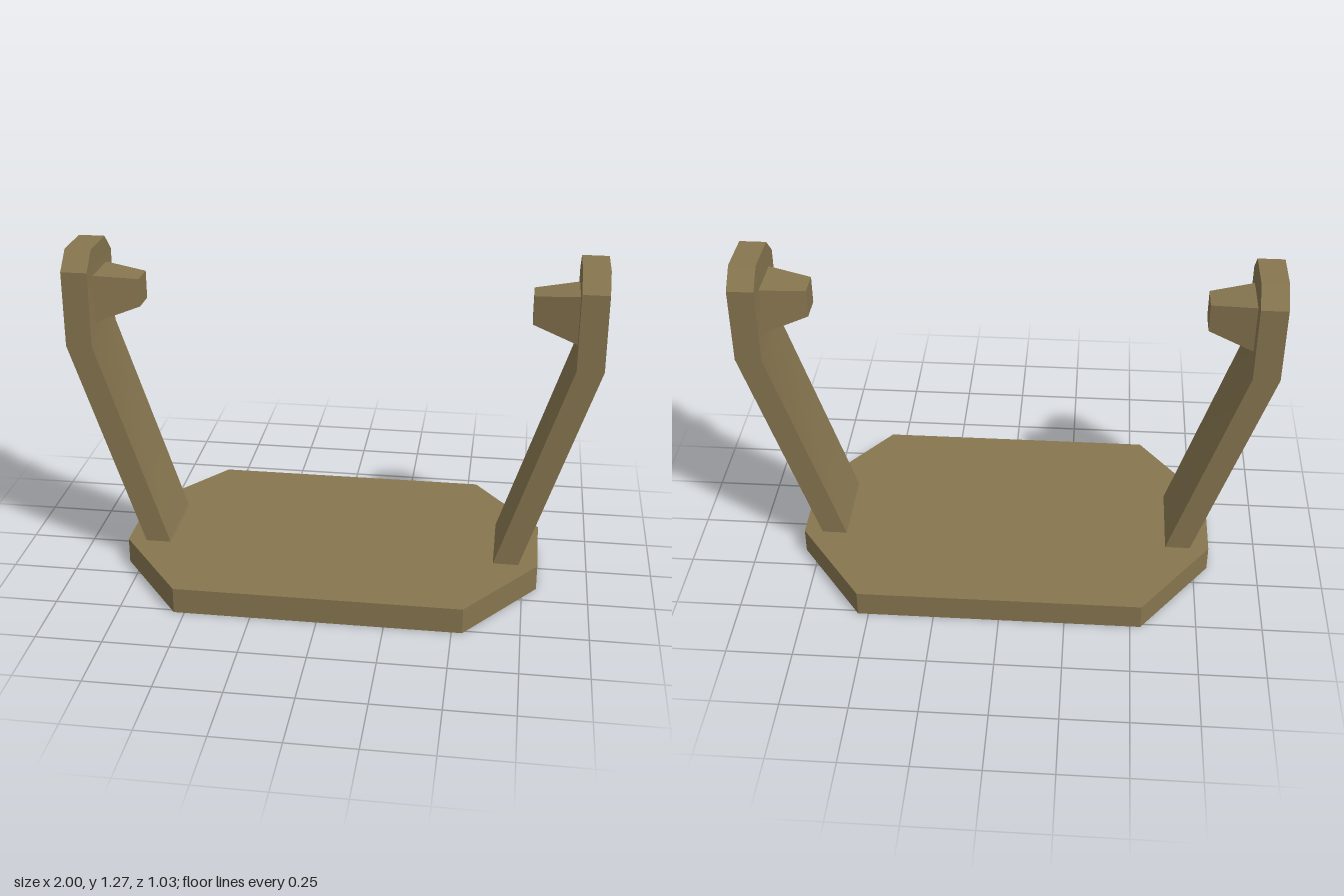
import * as THREE from 'three';
import { toCreasedNormals } from 'three/addons/utils/BufferGeometryUtils.js';

// Closed solid through four-cornered cross-sections (counter-clockwise seen from the far end)
function loft(sections) {
  const index = [];
  const last = (sections.length - 1) * 4;
  for (let i = 0; i < last; i += 4) {
    for (let j = 0; j < 4; j++) {
      const k = (j + 1) % 4;
      index.push(i + j, i + k, i + 4 + k, i + j, i + 4 + k, i + 4 + j);
    }
  }
  index.push(0, 2, 1, 0, 3, 2, last, last + 1, last + 2, last, last + 2, last + 3);
  const geometry = new THREE.BufferGeometry();
  geometry.setAttribute('position', new THREE.Float32BufferAttribute(sections.flat(2), 3));
  geometry.setIndex(index);
  return toCreasedNormals(geometry, 0.5);
}

// Horizontal section of an arm
const armSection = (y, x0, x1, z) => [[x0, y, z], [x1, y, z], [x1, y, -z], [x0, y, -z]];
// Upright section of a peg
const pegSection = (x, y0, y1, z) => [[x, y0, -z], [x, y0, z], [x, y1, z], [x, y1, -z]];

export function createModel() {
  const model = new THREE.Group();
  model.name = 'yokeStand';
  const material = new THREE.MeshStandardMaterial({ color: 0x86754f });

  const add = (parent, name, geometry) => {
    const mesh = new THREE.Mesh(geometry, material);
    mesh.name = name;
    parent.add(mesh);
  };

  // Eight-sided base plate
  const outline = [
    [0.805, -0.16], [0.805, 0.16], [0.54, 0.515], [-0.54, 0.515],
    [-0.805, 0.16], [-0.805, -0.16], [-0.54, -0.515], [0.54, -0.515],
  ].map(([x, y]) => new THREE.Vector2(x, y));
  const plate = new THREE.ExtrudeGeometry(new THREE.Shape(outline), { depth: 0.1, bevelEnabled: false });
  plate.rotateX(-Math.PI / 2);
  add(model, 'basePlate', plate);

  // Bent arm with a chamfered top, and the tapered peg on its inner face
  const arm = loft([
    armSection(0.1, 0.635, 0.732, 0.16),
    armSection(0.91, 0.9, 1, 0.16),
    armSection(1.2, 0.9, 1, 0.16),
    armSection(1.27, 0.9, 1, 0.09),
  ]);
  const peg = loft([
    pegSection(0.9, 0.985, 1.168, 0.09),
    pegSection(0.735, 1.042, 1.15, 0.052),
  ]);

  // The same support on both sides, turned half around
  for (const [side, angle] of [['left', 0], ['right', Math.PI]]) {
    const support = new THREE.Group();
    support.name = side + 'Support';
    support.rotation.y = angle;
    add(support, side + 'Arm', arm);
    add(support, side + 'Peg', peg);
    model.add(support);
  }
  return model;
}
